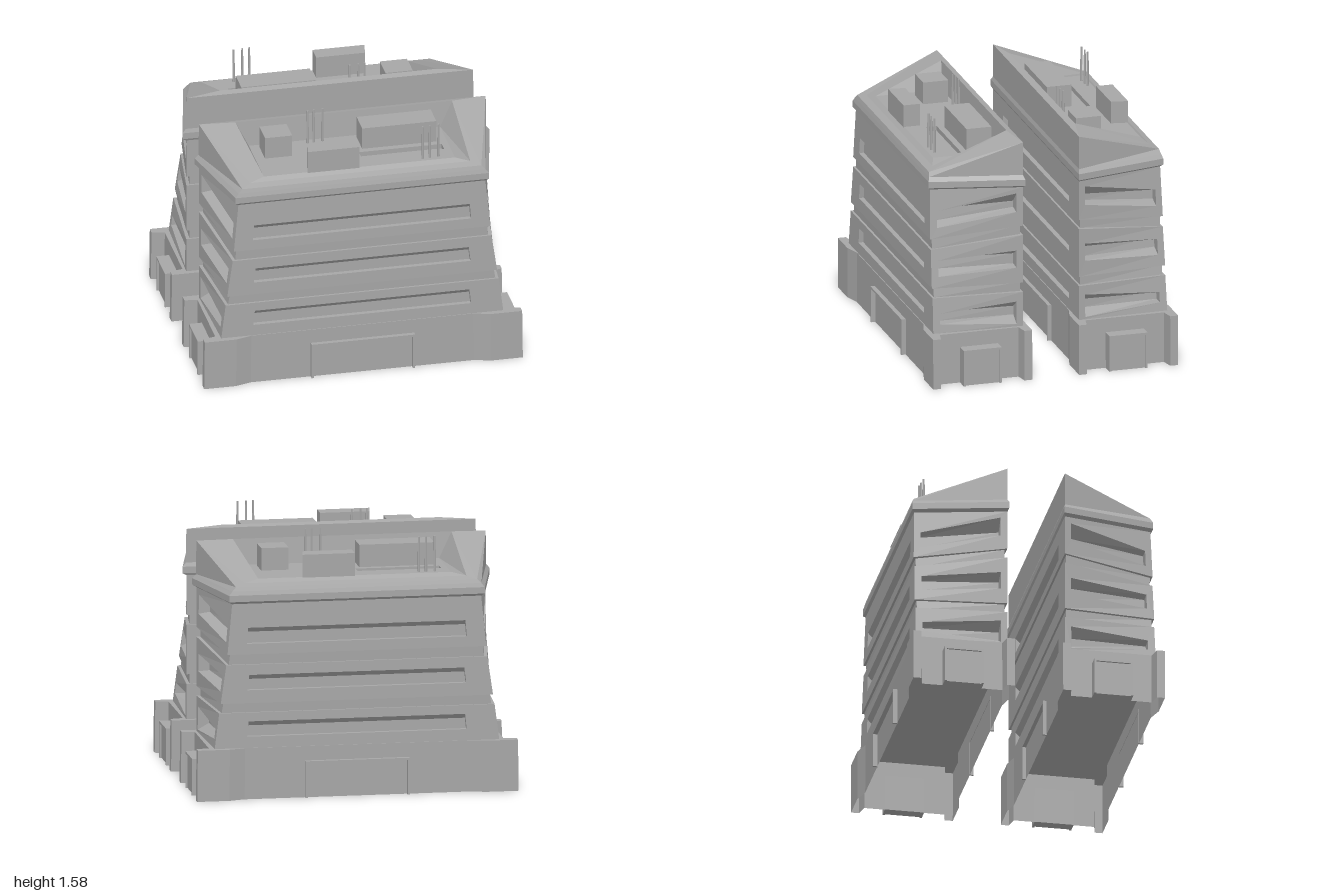
import * as THREE from 'three';

const concrete = new THREE.MeshStandardMaterial({ color: 0xa6a6a6, flatShading: true, side: THREE.DoubleSide });
concrete.name = 'concrete grey';

function named(name, geometry) {
  const mesh = new THREE.Mesh(geometry, concrete);
  mesh.name = name;
  return mesh;
}

function box(name, x0, x1, y0, y1, z0, z1) {
  const m = named(name, new THREE.BoxGeometry(x1 - x0, y1 - y0, z1 - z0));
  m.position.set((x0 + x1) / 2, (y0 + y1) / 2, (z0 + z1) / 2);
  return m;
}

// Collects flat quads, corners counter-clockwise seen from outside
class Quads {
  constructor() { this.p = []; }
  add(a, b, c, d) {
    for (const v of [a, b, c, a, c, d]) this.p.push(v.x, v.y, v.z);
  }
  // band of four quads between two four-cornered loops
  band(lower, upper) {
    lower.forEach((a, i) => {
      const j = (i + 1) % lower.length;
      this.add(a, lower[j], upper[j], upper[i]);
    });
  }
  geometry() {
    const g = new THREE.BufferGeometry();
    g.setAttribute('position', new THREE.Float32BufferAttribute(this.p, 3));
    g.computeVertexNormals();
    return g;
  }
}

const V = (x, y, z) => new THREE.Vector3(x, y, z);

// Horizontal loop of the tower: outer (street) edge and inner (courtyard) edge
const ring = ([yo, xo, zo, yi, xi, zi]) =>
  [V(xo, yo, zo), V(xi, yi, zi), V(-xi, yi, zi), V(-xo, yo, zo)];

// Wall with a recessed window; hole and back are [yBottom, yTop] at left and right
function windowWall(q, A, B, C, D, axis, h, hole, back, inward) {
  const at = (hh, y) => {
    const u = (hh - A[axis]) / (B[axis] - A[axis]);
    const low = A.clone().lerp(B, u), high = D.clone().lerp(C, u);
    return low.clone().lerp(high, (y - low.y) / (high.y - low.y));
  };
  const corners = (s) => [at(h[0], s[0][0]), at(h[1], s[1][0]), at(h[1], s[1][1]), at(h[0], s[0][1])];
  const outer = [A, B, C, D], rim = corners(hole);
  const deep = corners(back).map((v) => v.add(inward));
  q.band(outer, rim);
  q.band(rim, deep);
  q.add(...deep);
}

// Each storey: loops, long window heights, flared end windows
const storeys = [
  { lower: [0.32, 0.885, 0.75, 0.32, 0.9, 0.18], upper: [0.54, 0.857, 0.746, 0.54, 0.9, 0.18],
    long: [0.39, 0.485], court: [0.39, 0.485],
    endOuter: [0.375, 0.44], endInner: [0.335, 0.48], back: [[0.375, 0.43], [0.375, 0.43]] },
  { lower: [0.6, 0.847, 0.748, 0.6, 0.9, 0.18], upper: [0.84, 0.812, 0.744, 0.91, 0.9, 0.18],
    long: [0.68, 0.775], court: [0.7, 0.795],
    endOuter: [0.67, 0.77], endInner: [0.7, 0.81], back: [[0.7, 0.765], [0.705, 0.77]] },
  { lower: [0.905, 0.805, 0.746, 0.97, 0.9, 0.18], upper: [1.22, 0.775, 0.738, 1.22, 0.9, 0.18],
    long: [0.97, 1.07], court: [1.02, 1.12],
    endOuter: [0.975, 1.08], endInner: [1.06, 1.18], back: [[1.0, 1.075], [1.07, 1.11]] },
];

function towerBody() {
  const q = new Quads();
  const inset = ([yo, xo, zo, yi, xi, zi]) => [yo, xo - 0.018, zo - 0.014, yi, xi - 0.022, zi + 0.012];
  storeys.forEach((s, n) => {
    const a = ring(s.lower), b = ring(s.upper);
    for (let i = 0; i < 4; i++) {
      const j = (i + 1) % 4, wall = [a[i], a[j], b[j], b[i]];
      if (i % 2 === 0) {
        // end walls
        const order = (l) => (i === 0 ? l : [l[1], l[0]]);
        windowWall(q, ...wall, 'z', order([0.705, 0.22]), order([s.endOuter, s.endInner]),
          order(s.back), V(i === 0 ? -0.07 : 0.07, 0, 0));
      } else {
        // long walls
        const sign = i === 3 ? 1 : -1;
        const y = i === 3 ? s.long : s.court, deep = [y[0], y[1] - 0.03];
        windowWall(q, ...wall, 'x', [-0.69 * sign, 0.69 * sign], [y, y], [deep, deep], V(0, 0, -0.03 * sign));
      }
    }
    // grooves between storeys
    if (n < 2) {
      const neckLow = ring(inset(s.upper)), neckHigh = ring(inset(storeys[n + 1].lower));
      q.band(b, neckLow);
      q.band(neckLow, neckHigh);
      q.band(neckHigh, ring(storeys[n + 1].lower));
    }
  });
  return named('towerWalls', q.geometry());
}

// Cornice, sloping roof and the sides of the sunken deck
function towerRoof() {
  const q = new Quads();
  const loops = [
    [1.22, 0.775, 0.738, 1.22, 0.9, 0.18],
    [1.235, 0.795, 0.752, 1.235, 0.925, 0.172],
    [1.275, 0.795, 0.752, 1.275, 0.925, 0.172],
    [1.3, 0.775, 0.745, 1.3, 0.903, 0.18],
    [1.325, 0.75, 0.737, 1.51, 0.9, 0.18],
    [1.34, 0.69, 0.695, 1.52, 0.68, 0.22],
    [1.36, 0.6, 0.665, 1.36, 0.6, 0.24],
  ].map(ring);
  for (let i = 1; i < loops.length; i++) q.band(loops[i - 1], loops[i]);
  return named('corniceAndRoof', q.geometry());
}

function rectangle(Type, x0, x1, z0, z1) {
  return new Type([[x0, -z0], [x0, -z1], [x1, -z1], [x1, -z0]].map((p) => new THREE.Vector2(...p)));
}

function roofDeck() {
  const g = new THREE.Group();
  g.name = 'roofDeck';
  const shape = rectangle(THREE.Shape, -0.6, 0.6, 0.24, 0.665);
  shape.holes.push(rectangle(THREE.Path, 0.04, 0.56, 0.47, 0.54));
  const deck = named('deckFloor', new THREE.ExtrudeGeometry(shape, { depth: 0.03, bevelEnabled: false }));
  deck.rotation.x = -Math.PI / 2;
  deck.position.y = 1.33;
  g.add(deck, box('slotFloor', 0.03, 0.57, 1.322, 1.33, 0.46, 0.55));
  // plant rooms
  g.add(box('largePlantRoom', 0.07, 0.535, 1.36, 1.5, 0.27, 0.43));
  g.add(box('smallPlantRoom', -0.54, -0.37, 1.36, 1.5, 0.27, 0.43));
  const front = box('frontPlantRoom', -0.325, 0, 1.34, 1.5, 0.565, 0.67);
  const p = front.geometry.attributes.position;
  for (let i = 0; i < p.count; i++) if (p.getX(i) < 0 && p.getZ(i) < 0) p.setX(i, p.getX(i) + 0.018);
  g.add(front);
  // antennas
  for (const [x, z] of [[-0.24, 0.28], [-0.2, 0.273], [-0.145, 0.27], [0.405, 0.635], [0.45, 0.63], [0.505, 0.625]]) {
    const mast = named('antenna', new THREE.CylinderGeometry(0.006, 0.009, 0.22, 6));
    mast.position.set(x, 1.47, z);
    g.add(mast);
  }
  return g;
}

// Door surround, open at the ground, facing +z
function doorFrame(halfWidth, height, depth) {
  const w = halfWidth, t = 0.014;
  const pts = [[-w, 0], [-w, height], [w, height], [w, 0], [w - t, 0], [w - t, height - t], [t - w, height - t], [t - w, 0]];
  const shape = new THREE.Shape(pts.map((p) => new THREE.Vector2(...p)));
  return named('doorFrame', new THREE.ExtrudeGeometry(shape, { depth, bevelEnabled: false }));
}

function base() {
  const g = new THREE.Group();
  g.name = 'base';
  // plan with projecting corner piers
  const half = [[0.7, 0.755], [0.8, 0.785], [1, 0.785], [1, 0.735], [0.92, 0.718],
    [0.92, 0.215], [1, 0.2], [1, 0.15], [0.8, 0.15], [0.7, 0.175]];
  const plan = [...half, ...half.map(([x, z]) => [-x, z]).reverse()];
  const q = new Quads();
  q.band(plan.map(([x, z]) => V(x, 0, z)), plan.map(([x, z]) => V(x * 0.996, 0.32, z)));
  g.add(named('baseWalls', q.geometry()));
  const top = named('baseTop', new THREE.ShapeGeometry(
    new THREE.Shape(plan.map(([x, z]) => new THREE.Vector2(x * 0.996, -z)))));
  top.rotation.x = -Math.PI / 2;
  top.position.y = 0.32;
  g.add(top);
  // long-side doors
  const street = doorFrame(0.325, 0.23, 0.03);
  street.position.z = 0.753;
  const court = doorFrame(0.335, 0.23, 0.025);
  court.position.z = 0.177;
  court.rotation.y = Math.PI;
  g.add(street, court);
  // end porches
  for (const s of [-1, 1]) {
    g.add(box('endPorch', s * 0.95 - 0.035, s * 0.95 + 0.035, 0, 0.228, 0.348, 0.587));
    const frame = doorFrame(0.122, 0.23, 0.08);
    frame.rotation.y = s * Math.PI / 2;
    frame.position.set(s * 0.918, 0, 0.467);
    g.add(frame);
  }
  return g;
}

function building(name) {
  const g = new THREE.Group();
  g.name = name;
  g.add(base(), towerBody(), towerRoof(), roofDeck());
  return g;
}

export function createModel() {
  const model = new THREE.Group();
  model.name = 'twinOfficeBlocks';
  const back = building('backBuilding');
  back.rotation.y = Math.PI;
  model.add(building('frontBuilding'), back);
  return model;
}
